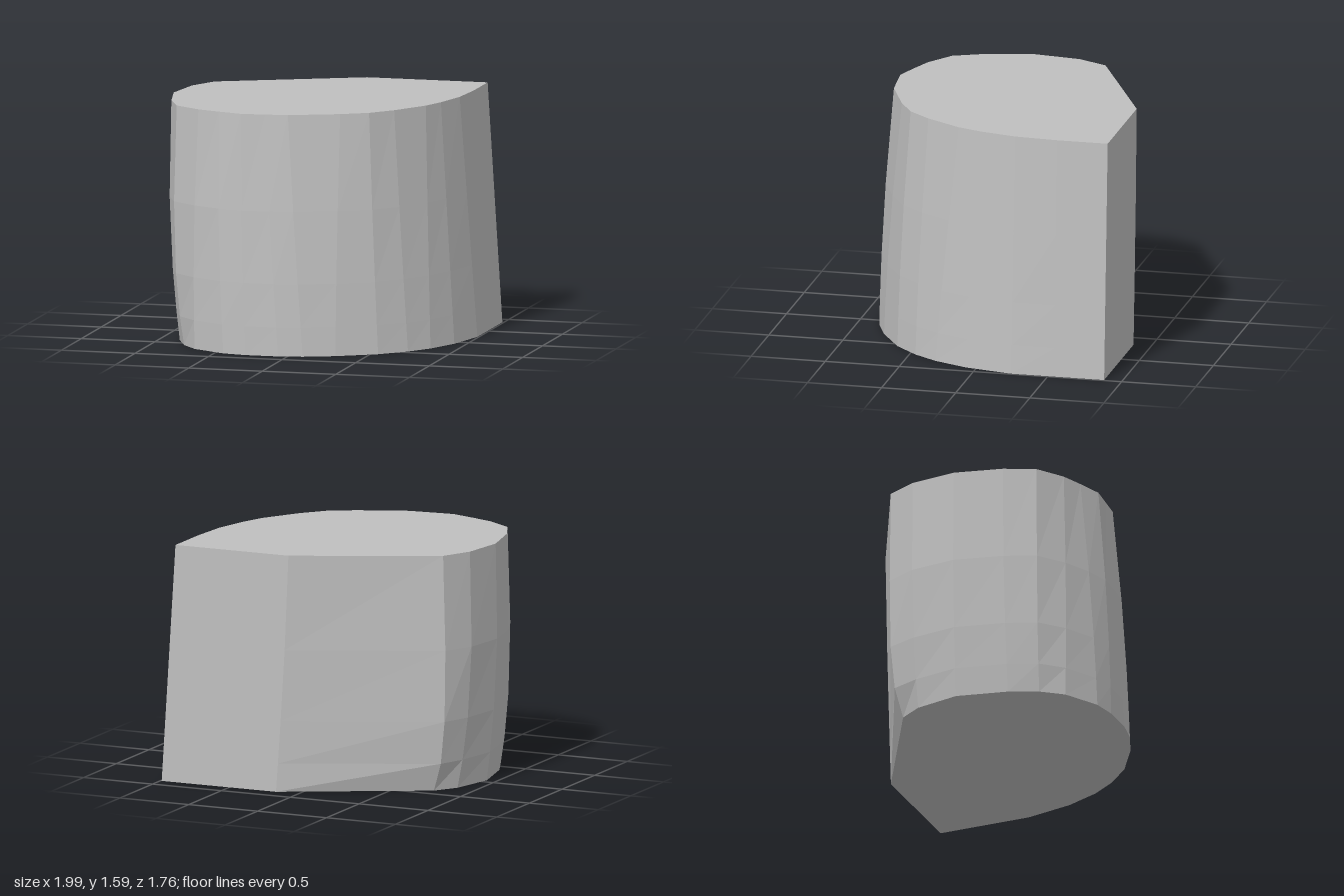
import * as THREE from 'three';

const HEIGHT = 1.59;

// Matched outline points: top x, top z, bottom x, bottom z, ease (1 = straight edge)
const OUTLINE = [
  [0.89, -0.88, 0.99, -0.88, 1], [0.89, -0.54, 0.99, -0.54, 1],
  [0.87, -0.25, 0.99, -0.25, 1], [0.81, 0.0, 0.92, 0.07, 1],
  [0.75, 0.16, 0.82, 0.3, 1], [0.6, 0.4, 0.71, 0.46, 1],
  [0.47, 0.55, 0.55, 0.62, 1], [0.3, 0.65, 0.3, 0.77, 1],
  [-0.02, 0.78, 0.1, 0.85, 1], [-0.17, 0.795, -0.06, 0.88, 1],
  [-0.33, 0.81, -0.28, 0.88, 1], [-0.5, 0.755, -0.44, 0.85, 1],
  [-0.65, 0.7, -0.67, 0.72, 1], [-0.83, 0.58, -0.78, 0.58, 4],
  [-0.92, 0.38, -0.86, 0.39, 2.2], [-0.99, 0.06, -0.93, 0.05, 2.2],
  [-0.95, -0.25, -0.86, -0.25, 3], [-0.85, -0.45, -0.76, -0.4, 8],
  [0.07, -0.88, 0.16, -0.88, 1.3],
];
const LEVELS = [0, 0.12, 0.3, 0.6, 1];

// One outline point at height fraction t, with a slight belly on the left and front
function outlinePoint([tx, tz, bx, bz, ease], t) {
  const k = Math.pow(1 - t, ease);
  const belly = 0.08 * t * (1 - t);
  const x = tx + (bx - tx) * k;
  const z = tz + (bz - tz) * k;
  return [x + belly * Math.min(0, x), t * HEIGHT, z + belly * Math.max(0, z)];
}

function makeMesh(name, triangles, material) {
  const geometry = new THREE.BufferGeometry();
  geometry.setAttribute('position', new THREE.Float32BufferAttribute(triangles.flat(2), 3));
  geometry.computeVertexNormals();
  const mesh = new THREE.Mesh(geometry, material);
  mesh.name = name;
  return mesh;
}

export function createModel() {
  const grey = new THREE.MeshStandardMaterial({ color: 0xbfbfbf });
  grey.name = 'light grey';

  const rings = LEVELS.map((t) => OUTLINE.map((p) => outlinePoint(p, t)));
  const n = OUTLINE.length;

  // Faceted side wall
  const wall = [];
  for (let j = 0; j < rings.length - 1; j++) {
    for (let i = 0; i < n; i++) {
      const next = (i + 1) % n;
      const a = rings[j][i], b = rings[j][next];
      const c = rings[j + 1][i], d = rings[j + 1][next];
      wall.push([a, c, b], [b, c, d]);
    }
  }

  // Flat end caps, fanned from the centre
  const top = [], bottom = [];
  const low = rings[0], high = rings[rings.length - 1];
  for (let i = 0; i < n; i++) {
    const next = (i + 1) % n;
    top.push([[0, HEIGHT, 0], high[next], high[i]]);
    bottom.push([[0, 0, 0], low[i], low[next]]);
  }

  const group = new THREE.Group();
  group.name = 'facetedBlock';
  group.add(
    makeMesh('sideWall', wall, grey),
    makeMesh('topFace', top, grey),
    makeMesh('bottomFace', bottom, grey),
  );
  return group;
}
